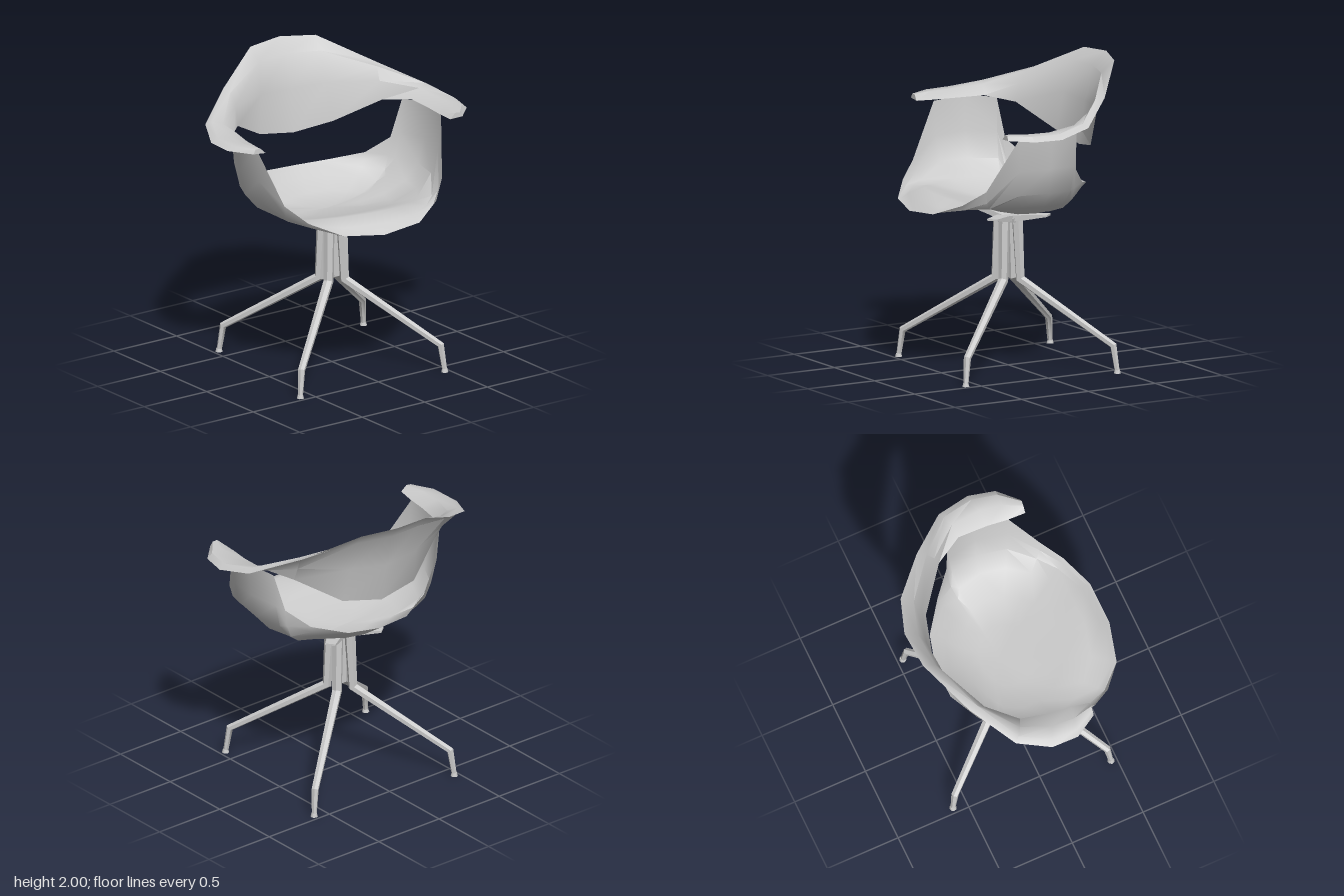
import * as THREE from 'three';
import { toCreasedNormals } from 'three/addons/utils/BufferGeometryUtils.js';

const material = new THREE.MeshStandardMaterial({ color: 0xcccccc });
const shellMaterial = new THREE.MeshStandardMaterial({ color: 0xcccccc, side: THREE.DoubleSide });
const V = (x, y, z) => new THREE.Vector3(x, y, z);

function part(name, geometry, mat = material) {
  const mesh = new THREE.Mesh(geometry, mat);
  mesh.name = name;
  return mesh;
}

// Skin closed rings of points; rings turn right-handed about the path direction
function loft(rings) {
  const n = rings[0].length;
  const index = [];
  for (let i = 0; i < rings.length - 1; i++) {
    for (let j = 0; j < n; j++) {
      const k = (j + 1) % n;
      const a = i * n + j, b = a + n, c = (i + 1) * n + k, d = i * n + k;
      index.push(a, d, b, d, c, b);
    }
  }
  return { rings, index };
}

function finish({ rings, index }, capped) {
  const n = rings[0].length;
  const last = (rings.length - 1) * n;
  for (let j = 1; capped && j < n - 1; j++) {
    index.push(0, j + 1, j, last, last + j, last + j + 1);
  }
  const geometry = new THREE.BufferGeometry().setFromPoints(rings.flat());
  geometry.setIndex(index);
  return toCreasedNormals(geometry, 0.75);
}

const solid = (rings) => finish(loft(rings), true);
const openSkin = (rings) => finish(loft(rings), false);

// Mirror a half row of points (first one on the centre line) across z
const mirrored = (half) => [
  ...half.slice(1).reverse().map((p) => V(p.x, p.y, -p.z)),
  ...half,
];

// Bucket seat: rings growing from the bottom to a rim that rises at the sides
function seatShell() {
  const half = [
    V(0.69, 1.065, 0), V(0.65, 1.09, 0.28), V(0.53, 1.17, 0.47), V(0.41, 1.27, 0.58),
    V(0.22, 1.62, 0.68), V(0.0, 1.64, 0.7), V(-0.2, 1.62, 0.63), V(-0.23, 1.36, 0.56),
    V(-0.33, 1.25, 0.43), V(-0.45, 1.2, 0.22), V(-0.48, 1.19, 0),
  ];
  const rim = [...half, ...half.slice(1, -1).reverse().map((p) => V(p.x, p.y, -p.z))];
  const centre = V(-0.05, 1.03, 0);
  // [outward fraction, height fraction, rise of the front lip]
  const profile = [
    [0.002, 0, 0], [0.3, 0.01, 0.04], [0.55, 0.05, 0.085], [0.78, 0.17, 0.13],
    [0.91, 0.34, 0.08], [0.97, 0.62, 0.03], [1, 1, 0],
  ];
  const rings = profile.map(([f, g, rise]) => rim.map((p) => {
    const front = Math.max(0, p.x - 0.2) / 0.49;
    // The rear slopes up straight instead of curving
    const rear = THREE.MathUtils.clamp((-p.x - 0.22) / 0.2, 0, 1);
    const height = THREE.MathUtils.lerp(g, Math.max(0, (f - 0.45) / 0.55), rear);
    return V(
      centre.x + (p.x - centre.x) * f,
      centre.y + (p.y - centre.y) * height + rise * front,
      p.z * f,
    );
  }));
  return part('seatShell', openSkin(rings), shellMaterial);
}

// One band: upright at the back, twisting flat into the crowned armrests
function backAndArms() {
  const upper = mirrored([
    V(-0.69, 2.0, 0), V(-0.64, 1.985, 0.24), V(-0.43, 1.815, 0.56), V(-0.2, 1.685, 0.82),
    V(0.02, 1.64, 0.9), V(0.2, 1.635, 0.88), V(0.34, 1.635, 0.77),
  ]);
  const lower = mirrored([
    V(-0.5, 1.405, 0), V(-0.46, 1.45, 0.27), V(-0.29, 1.6, 0.53), V(-0.12, 1.635, 0.65),
    V(0.08, 1.63, 0.67), V(0.22, 1.63, 0.67), V(0.34, 1.63, 0.68),
  ]);
  const last = upper.length - 1;
  const rings = upper.map((u, i) => {
    const l = lower[i];
    const along = upper[Math.min(i + 1, last)].clone().sub(upper[Math.max(i - 1, 0)]);
    const out = along.cross(u.clone().sub(l)).normalize();
    const at = (f, offset) => l.clone().lerp(u, f).addScaledVector(out, offset);
    // The back is hollowed behind its flared top edge
    const hollow = THREE.MathUtils.clamp((u.y - 1.64) / 0.36, 0, 1);
    return [
      at(0.45, -0.035 - 0.015 * hollow), at(0.82, -0.03 - 0.03 * hollow), u,
      at(0.82, -0.045 * hollow), at(0.45, -0.025 * hollow), l,
    ];
  });
  return part('backrestAndArmrests', solid(rings));
}

// Bent six-sided leg in the local xy plane, x pointing outward
function leg() {
  const path = [
    V(0.065, 0.96, 0), V(0.085, 0.57, 0), V(0.725, 0.18, 0), V(0.75, 0.02, 0),
  ];
  const radius = [0.037, 0.033, 0.024, 0.017];
  const rings = path.map((p, i) => {
    const before = p.clone().sub(path[Math.max(i - 1, 0)]).normalize();
    const after = path[Math.min(i + 1, 3)].clone().sub(p).normalize();
    const t = before.add(after).normalize();
    const n = V(-t.y, t.x, 0);
    return Array.from({ length: 6 }, (_, j) => {
      const a = (j / 6) * Math.PI * 2;
      return p.clone().addScaledVector(n, radius[i] * Math.cos(a))
        .add(V(0, 0, radius[i] * Math.sin(a)));
    });
  });
  const group = new THREE.Group();
  group.name = 'leg';
  const foot = part('foot', new THREE.CylinderGeometry(0.018, 0.024, 0.022, 8));
  foot.position.set(0.752, 0.011, 0);
  group.add(part('legTube', solid(rings)), foot);
  return group;
}

// Tapered bracket arm reaching out under the seat
function bracketArm(reach, height) {
  const section = (x, y, halfHeight, halfWidth) => [
    V(x, y + halfHeight, -halfWidth), V(x, y + halfHeight, halfWidth),
    V(x, y - halfHeight, halfWidth), V(x, y - halfHeight, -halfWidth),
  ];
  return part('bracketArm', solid([
    section(0, 0.965, 0.02, 0.06),
    section(0.12, 0.97 + (height - 0.97) * 0.3, 0.018, 0.045),
    section(reach, height, 0.006, 0.035),
  ]));
}

export function createModel() {
  const model = new THREE.Group();
  model.name = 'armchair';
  const chair = new THREE.Group();
  chair.name = 'chair';
  chair.add(seatShell(), backAndArms());

  // Four legs and bracket arms on the diagonals; one arm rises higher
  const tips = [[0.28, 1.0], [0.28, 1.0], [0.28, 1.0], [0.42, 1.085]];
  tips.forEach(([reach, height], i) => {
    const corner = new THREE.Group();
    corner.name = 'baseCorner';
    corner.add(leg(), bracketArm(reach, height));
    corner.rotation.y = Math.PI / 4 + (i * Math.PI) / 2;
    chair.add(corner);
  });
  const hub = part('hub', new THREE.CylinderGeometry(0.09, 0.08, 0.03, 8));
  hub.position.y = 0.96;
  chair.add(hub);

  // The whole chair is turned slightly about its axis
  chair.rotation.y = -0.125;
  model.add(chair);
  return model;
}
